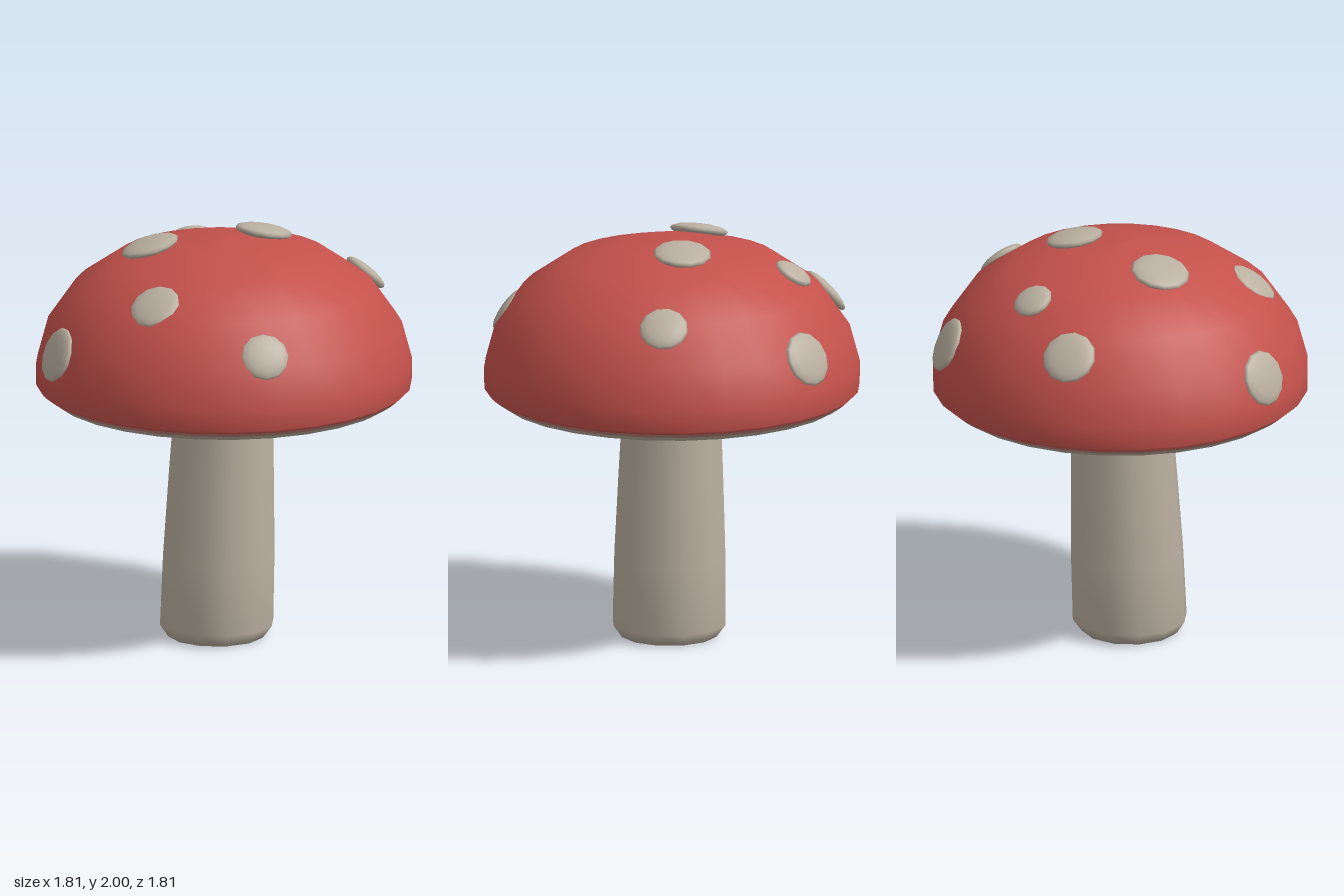
import * as THREE from 'three';

const material = (name, color) => {
  const m = new THREE.MeshStandardMaterial({ color });
  m.name = name;
  return m;
};

export function createModel() {
  const model = new THREE.Group();
  model.name = 'mushroom';
  const red = material('cap red', 0xc4514b);
  const cream = material('cream', 0xbab0a0);
  const blush = material('blush', 0xbc8074);

  const lathe = (name, profile, sides, mat) => {
    const geo = new THREE.LatheGeometry(profile.map(([r, y]) => new THREE.Vector2(r, y)), sides);
    const mesh = new THREE.Mesh(geo, mat);
    mesh.name = name;
    model.add(mesh);
    return mesh;
  };

  // Domed cap
  lathe('cap', [
    [0.885, 1.228], [0.903, 1.245], [0.905, 1.35], [0.855, 1.535], [0.72, 1.73],
    [0.51, 1.875], [0.25, 1.945], [0, 1.963],
  ], 28, red);

  // Underside: colour rings from the stalk out to the rim
  lathe('undersideCentre', [[0, 1.225], [0.39, 1.214]], 28, red);
  lathe('undersideRing', [[0.39, 1.214], [0.54, 1.205]], 28, blush);
  lathe('undersideGills', [[0.54, 1.205], [0.7, 1.192], [0.825, 1.184], [0.86, 1.208]], 28, cream);
  lathe('rimBand', [[0.86, 1.208], [0.885, 1.228]], 28, blush);

  // Stalk, tapered and leaning so its foot sits towards -x
  const stalk = lathe('stalk', [
    [0, 0], [0.235, 0], [0.278, 0.06], [0.274, 0.4], [0.258, 0.8], [0.238, 1.23],
  ], 12, cream);
  const pos = stalk.geometry.attributes.position;
  for (let i = 0; i < pos.count; i++) {
    pos.setX(i, pos.getX(i) - 0.05 * (1 - pos.getY(i) / 1.25));
  }

  // Flattened spots lying along the dome: x, y, z, radius
  const spots = [
    [0.24, 1.958, 0.02, 0.14],
    [-0.28, 1.93, -0.22, 0.143],
    [0.26, 1.825, -0.53, 0.098],
    [-0.01, 1.655, -0.775, 0.13],
    [0.72, 1.52, -0.46, 0.135],
    [0.69, 1.715, 0.25, 0.117],
    [-0.61, 1.77, 0.185, 0.128],
    [-0.375, 1.585, 0.71, 0.118],
    [-0.825, 1.475, -0.28, 0.135],
  ];
  const spotGeo = new THREE.SphereGeometry(1, 12, 8);
  const up = new THREE.Vector3(0, 1, 0);
  spots.forEach(([x, y, z, r], i) => {
    const spot = new THREE.Mesh(spotGeo, cream);
    spot.name = `spot${i + 1}`;
    spot.position.set(x, y, z);
    const normal = new THREE.Vector3(x / 0.82, (y - 1.3) / 0.436, z / 0.82).normalize();
    spot.quaternion.setFromUnitVectors(up, normal);
    spot.scale.set(r, 0.033, r);
    model.add(spot);
  });

  return model;
}
